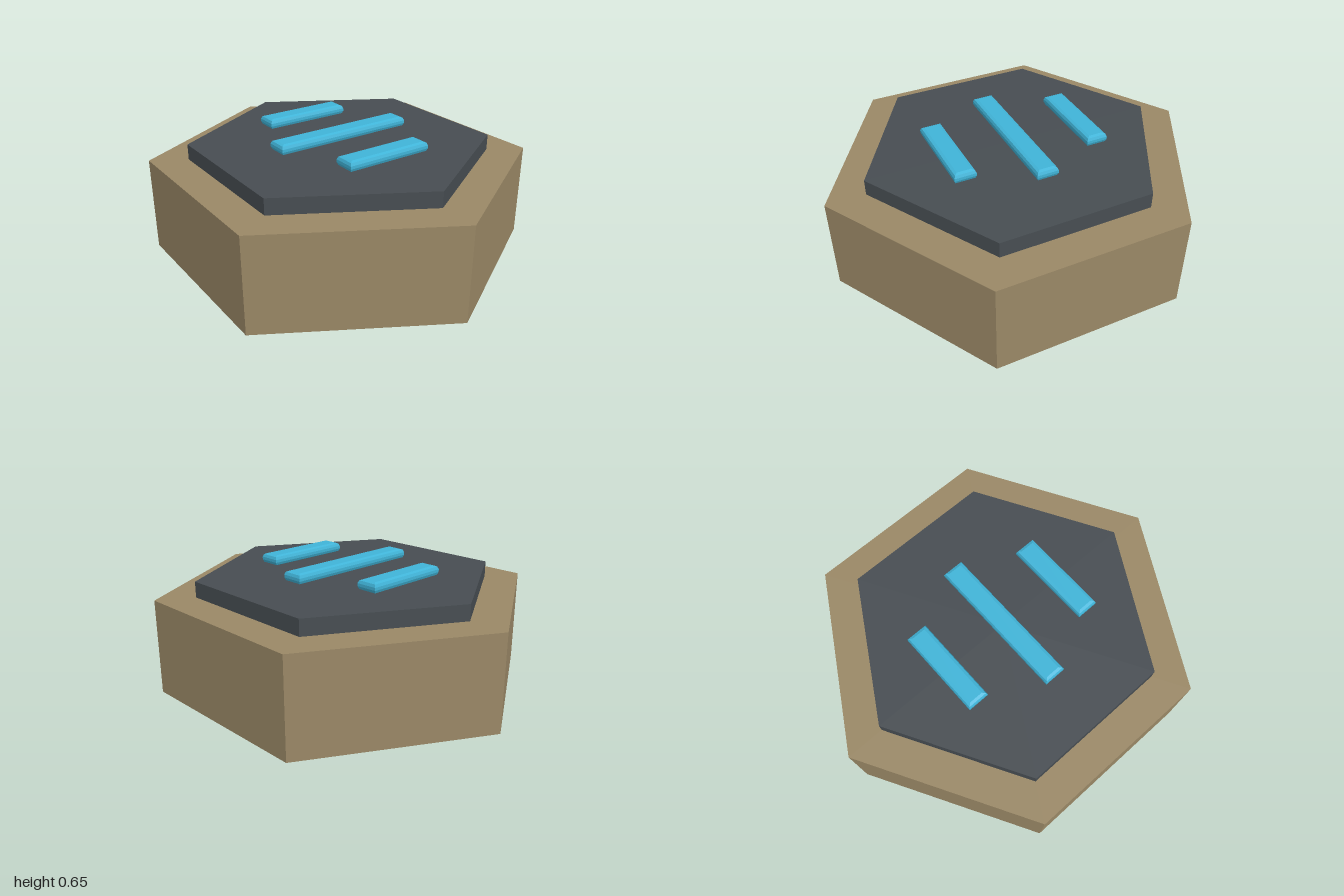
import * as THREE from 'three';

export function createModel() {
  const model = new THREE.Group();
  const paint = (name, color) => {
    const material = new THREE.MeshStandardMaterial({ color, flatShading: true });
    material.name = name;
    return material;
  };
  const tan = paint('tan', 0x9a8866);
  const slate = paint('slate', 0x474d52);
  const cyan = paint('cyan', 0x40b4d8);

  // Hexagonal prism with corners on the x axis
  const addHexagon = (name, radius, bottom, height, material) => {
    const geometry = new THREE.CylinderGeometry(radius, radius, height, 6);
    geometry.rotateY(Math.PI / 6);
    geometry.translate(0, bottom + height / 2, 0);
    const mesh = new THREE.Mesh(geometry, material);
    mesh.name = name;
    model.add(mesh);
  };
  addHexagon('base', 1, 0, 0.5, tan);
  addHexagon('topPlate', 0.795, 0.5, 0.083, slate);

  // Bevelled bars hovering just above the plate
  const addBar = (name, x, length) => {
    const bevel = 0.02, w = 0.115 / 2 - bevel, l = length / 2 - bevel;
    const outline = new THREE.Shape([[-w, -l], [w, -l], [w, l], [-w, l]]
      .map(([px, py]) => new THREE.Vector2(px, py)));
    const geometry = new THREE.ExtrudeGeometry(outline, {
      depth: 0.015, bevelThickness: bevel, bevelSize: bevel, bevelSegments: 2,
    });
    geometry.rotateX(-Math.PI / 2);
    const mesh = new THREE.Mesh(geometry, cyan);
    mesh.name = name;
    mesh.position.set(x, 0.594 + bevel, 0);
    model.add(mesh);
  };
  addBar('centreBar', 0, 0.775);
  addBar('leftBar', 0.363, 0.475);
  addBar('rightBar', -0.363, 0.475);

  return model;
}
